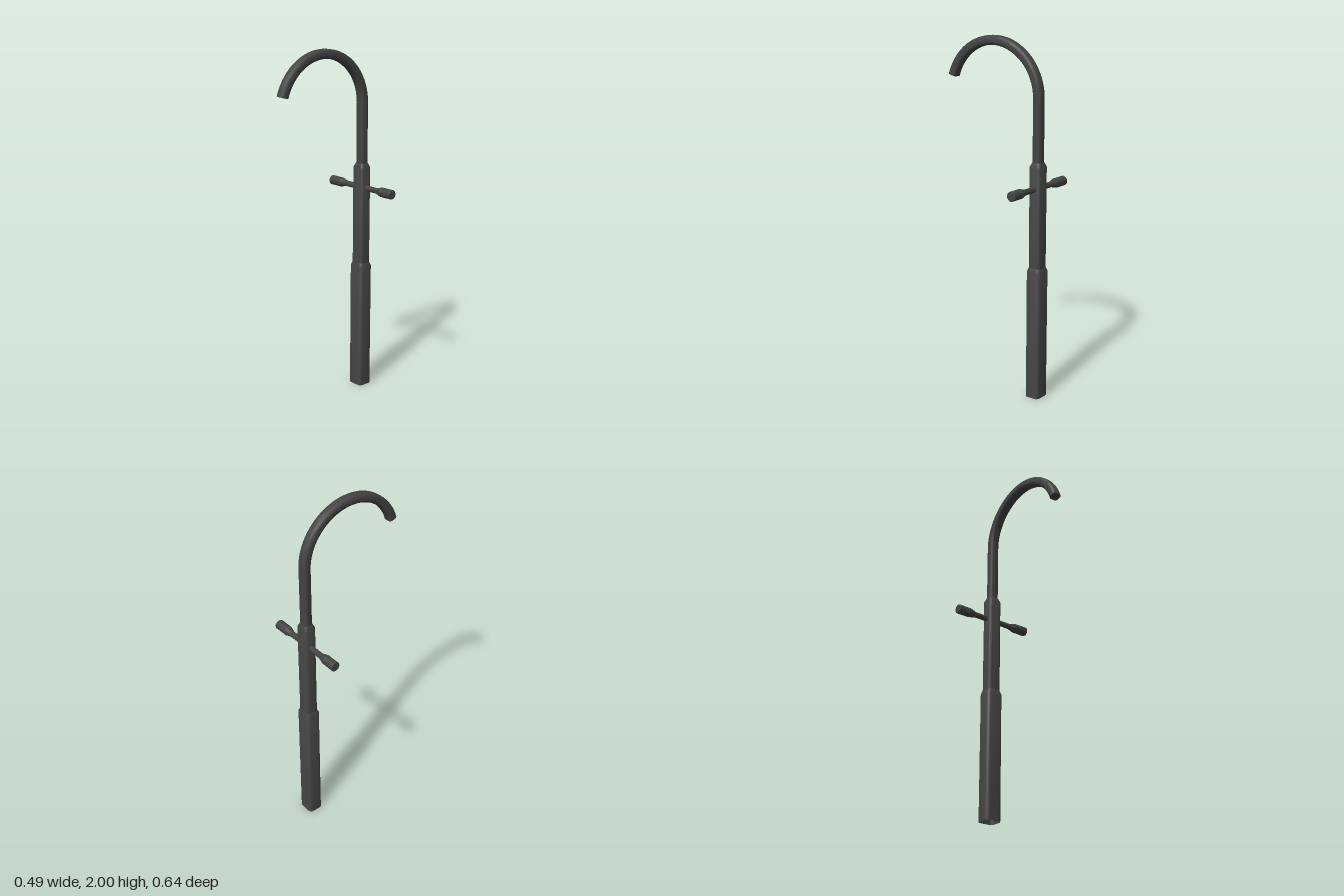
import * as THREE from 'three';
import { toCreasedNormals } from 'three/addons/utils/BufferGeometryUtils.js';

const POST_Z = -0.277;
const X_AXIS = new THREE.Vector3(1, 0, 0);

// Points of a rounded rectangle, counter-clockwise
function roundedRect(hw, hd, r, seg = 4) {
  const pts = [];
  [[1, 1], [-1, 1], [-1, -1], [1, -1]].forEach(([sx, sy], k) => {
    for (let i = 0; i <= seg; i++) {
      const a = (k + i / seg) * Math.PI / 2;
      pts.push([sx * (hw - r) + r * Math.cos(a), sy * (hd - r) + r * Math.sin(a)]);
    }
  });
  return pts;
}

// Skin over rounded-rectangle sections; each station is { y, z, angle, hw, hd, r }
function loft(stations, capEnd) {
  const pos = [], index = [];
  let n = 0;
  for (const s of stations) {
    const tangent = new THREE.Vector3(0, Math.cos(s.angle || 0), Math.sin(s.angle || 0));
    const v = tangent.cross(X_AXIS);
    const ring = roundedRect(s.hw, s.hd, s.r);
    n = ring.length;
    for (const [a, b] of ring) pos.push(a, s.y + v.y * b, s.z + v.z * b);
  }
  for (let j = 0; j < stations.length - 1; j++) {
    for (let i = 0; i < n; i++) {
      const a = j * n + i, b = j * n + (i + 1) % n;
      index.push(a, b, b + n, a, b + n, a + n);
    }
  }
  if (capEnd) {
    const e = (stations.length - 1) * n;
    for (let i = 1; i < n - 1; i++) index.push(e, e + i, e + i + 1);
  }
  const g = new THREE.BufferGeometry();
  g.setAttribute('position', new THREE.Float32BufferAttribute(pos, 3));
  g.setIndex(index);
  return toCreasedNormals(g, 0.6);
}

export function createModel() {
  const group = new THREE.Group();
  const dark = new THREE.MeshStandardMaterial({ color: 0x444444, side: THREE.DoubleSide });
  const add = (name, geometry) => {
    const mesh = new THREE.Mesh(geometry, dark);
    mesh.name = name;
    group.add(mesh);
    return mesh;
  };
  const at = (y, hw, hd, r) => ({ y, z: POST_Z, hw, hd, r });

  // Hollow lower sleeve, open at the foot
  add('lowerPost', loft([
    at(0, 0.05, 0.044, 0.02), at(0.735, 0.05, 0.044, 0.02), at(0.757, 0.041, 0.036, 0.017),
  ], true));

  // Narrower middle section with a bevelled shoulder
  add('upperPost', loft([
    at(0.72, 0.041, 0.036, 0.017), at(1.318, 0.041, 0.036, 0.017), at(1.342, 0.03, 0.026, 0.015),
  ], true));

  // Hooked spout: straight riser, then an arc over the front
  const R = 0.293, cy = 2 - 0.026 - R, cz = POST_Z + R, STEPS = 40;
  const sweep = Math.PI - THREE.MathUtils.degToRad(17.5);
  const section = { hw: 0.029, hd: 0.026, r: 0.018 };
  const stations = [{ y: 1.32, z: POST_Z, ...section }];
  for (let i = 0; i <= STEPS; i++) {
    const angle = sweep * i / STEPS;
    stations.push({ y: cy + R * Math.sin(angle), z: cz - R * Math.cos(angle), angle, ...section });
  }
  add('spout', loft(stations, true));

  // Pair of turned handles: rod, flare, groove and knob
  const profile = [
    [0.016, 0], [0.016, 0.122], [0.018, 0.132], [0.025, 0.157], [0.027, 0.165],
    [0.027, 0.179], [0.0255, 0.181], [0.0255, 0.183], [0.027, 0.185],
    [0.027, 0.243], [0.025, 0.246], [0, 0.246],
  ].map(([r, h]) => new THREE.Vector2(r, h));
  const handle = toCreasedNormals(new THREE.LatheGeometry(profile, 28), 0.5);
  for (const side of [1, -1]) {
    const mesh = add(side > 0 ? 'leftHandle' : 'rightHandle', handle);
    mesh.position.set(0, 1.2, POST_Z);
    mesh.rotation.z = -side * Math.PI / 2;
  }
  return group;
}
